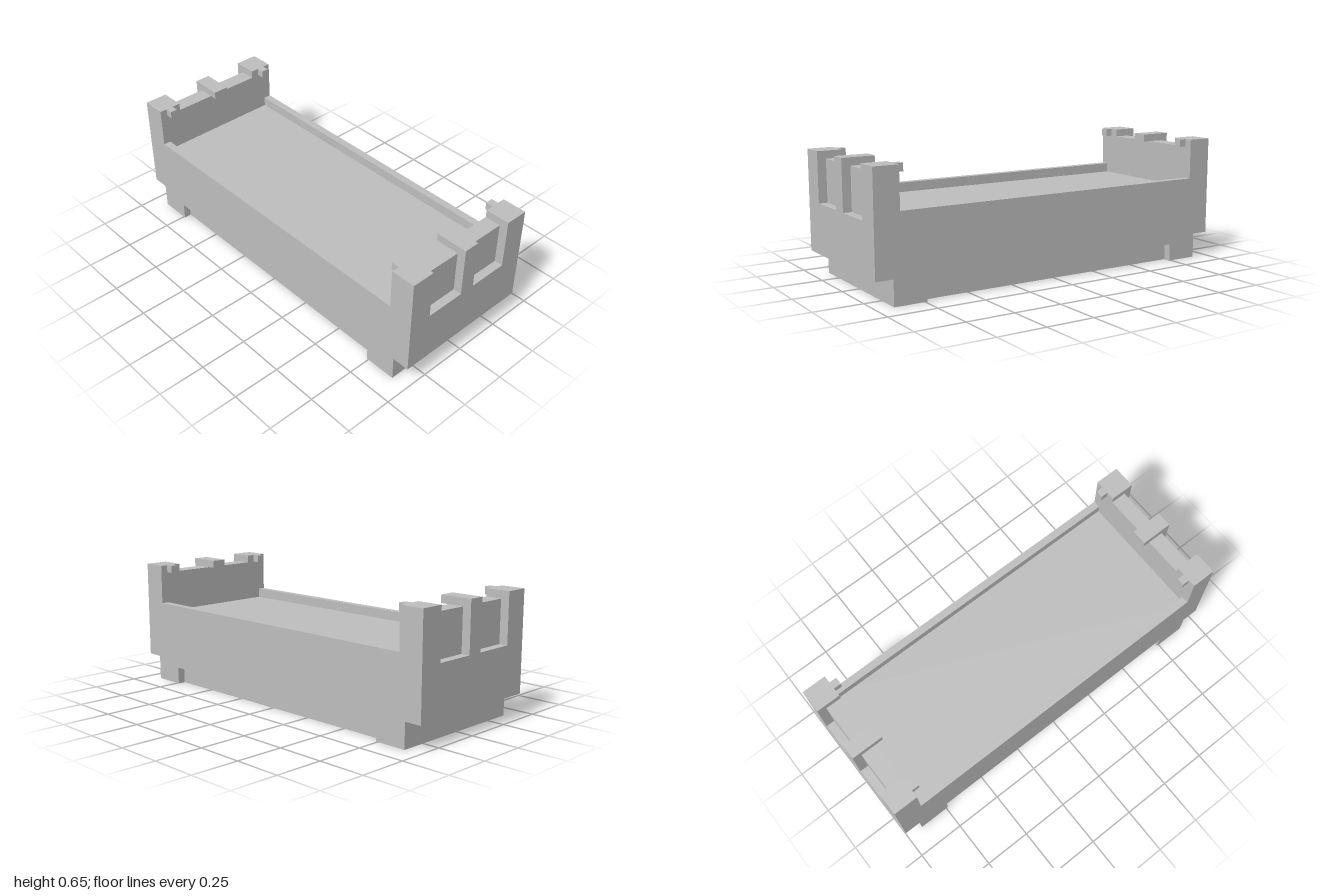
import * as THREE from 'three';

const HALF_W = 0.38, INNER_W = 0.34;

const shell = new THREE.MeshStandardMaterial({ color: 0xbfbfbf });
shell.name = 'light grey';

// Box given by its min and max corners
function box(name, [x0, y0, z0], [x1, y1, z1]) {
  const geo = new THREE.BoxGeometry(x1 - x0, y1 - y0, z1 - z0);
  geo.translate((x0 + x1) / 2, (y0 + y1) / 2, (z0 + z1) / 2);
  const mesh = new THREE.Mesh(geo, shell);
  mesh.name = name;
  return mesh;
}

const shapeOf = (pts) => new THREE.Shape(pts.map(([x, y]) => new THREE.Vector2(x, y)));

function extrude(name, shape, depth) {
  const mesh = new THREE.Mesh(new THREE.ExtrudeGeometry(shape, { depth, bevelEnabled: false }), shell);
  mesh.name = name;
  return mesh;
}

// Horizontal layer of the base with two long slots
function baseLayer(name, pts, y0, y1) {
  const shape = shapeOf(pts);
  for (const [a, b] of [[-0.21, -0.04], [0.04, 0.21]]) {
    shape.holes.push(new THREE.Path([[a, -0.74], [a, 0.74], [b, 0.74], [b, -0.74]]
      .map(([x, y]) => new THREE.Vector2(x, y))));
  }
  const mesh = extrude(name, shape, y1 - y0);
  mesh.rotation.x = -Math.PI / 2;
  mesh.position.y = y0;
  return mesh;
}

// Wall layer with two notches cut down to notchY
function wallLayer(name, notchY, z0, z1) {
  const top = 0.65, n = 0.255, m = 0.042;
  const mesh = extrude(name, shapeOf([
    [-HALF_W, 0.13], [HALF_W, 0.13], [HALF_W, top], [n, top], [n, notchY], [m, notchY], [m, top],
    [-m, top], [-m, notchY], [-n, notchY], [-n, top], [-HALF_W, top],
  ]), z1 - z0);
  mesh.position.z = z0;
  return mesh;
}

// End wall with recessed panels and inward-facing catches
function endWall(name) {
  const g = new THREE.Group();
  g.name = name;
  g.add(wallLayer('wallPanel', 0.61, 0.87, 0.955));
  g.add(wallLayer('wallPosts', 0.39, 0.955, 1));
  g.add(box('centreCatch', [-0.042, 0.61, 0.83], [0.042, 0.65, 0.87]));
  g.add(box('leftCatch', [0.3, 0.61, 0.83], [0.34, 0.65, 0.87]));
  g.add(box('rightCatch', [-0.34, 0.61, 0.83], [-0.3, 0.65, 0.87]));
  return g;
}

export function createModel() {
  const model = new THREE.Group();
  model.name = 'tray';

  // Base: lower layer is cut in along both sides
  const W = HALF_W, I = INNER_W;
  model.add(baseLayer('baseFoot', [
    [-W, -0.91], [W, -0.91], [W, -0.74], [I, -0.74], [I, 0.74], [W, 0.74],
    [W, 0.91], [-W, 0.91], [-W, 0.74], [-I, 0.74], [-I, -0.74], [-W, -0.74],
  ], 0, 0.09));
  model.add(baseLayer('baseTop', [[-W, -0.91], [W, -0.91], [W, 0.91], [-W, 0.91]], 0.09, 0.13));

  // Body and side rails
  model.add(box('body', [-W, 0.13, -0.87], [W, 0.39, 0.87]));
  model.add(box('leftRail', [I, 0.39, -0.87], [W, 0.44, 0.87]));
  model.add(box('rightRail', [-W, 0.39, -0.87], [-I, 0.44, 0.87]));

  // Matching end walls
  const back = endWall('backWall');
  back.rotation.y = Math.PI;
  model.add(endWall('frontWall'), back);
  return model;
}
